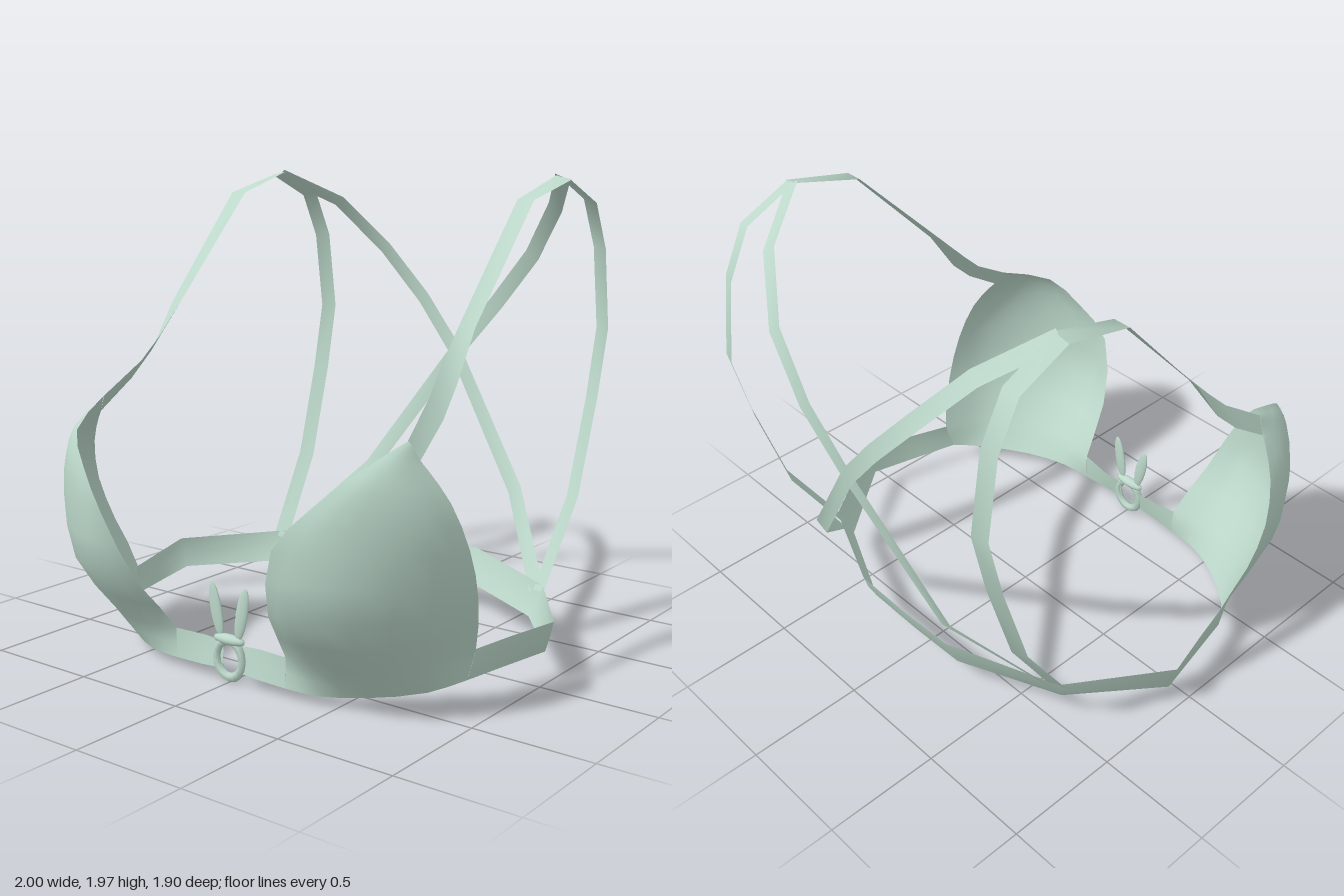
import * as THREE from 'three';

const fabric = new THREE.MeshStandardMaterial({ color: 0xbcd8ca, side: THREE.DoubleSide });
fabric.name = 'paleMintFabric';

const V = (p) => new THREE.Vector3(...p);
const spread = (points, n) => new THREE.CatmullRomCurve3(points).getPoints(n);

// Surface through rows of points; sub > 1 smooths it in both directions
function loft(rows, sub = 1) {
  let grid = rows.map((row) => row.map(V));
  if (sub > 1) {
    grid = grid.map((row) => spread(row, (row.length - 1) * sub));
    const columns = grid[0].map((_, j) => spread(grid.map((row) => row[j]), (rows.length - 1) * sub));
    grid = columns[0].map((_, i) => columns.map((c) => c[i]));
  }
  const w = grid[0].length;
  const index = [];
  for (let i = 0; i < grid.length - 1; i++) {
    for (let j = 0; j < w - 1; j++) {
      const a = i * w + j;
      index.push(a, a + 1, a + w, a + 1, a + w + 1, a + w);
    }
  }
  const geometry = new THREE.BufferGeometry().setFromPoints(grid.flat());
  geometry.setIndex(index);
  geometry.computeVertexNormals();
  return geometry;
}

// Flat strap along a path, lying against the rounded back
function strapRows(path, width) {
  const pts = path.map(V);
  return pts.map((p, i) => {
    const tangent = pts[Math.min(i + 1, pts.length - 1)].clone().sub(pts[Math.max(i - 1, 0)]);
    const outward = new THREE.Vector3(p.x * 0.4, (p.y - 1) * 0.8, p.z);
    const side = tangent.cross(outward).setLength(width / 2);
    return [p.clone().add(side).toArray(), p.clone().sub(side).toArray()];
  });
}

// Cup rows from bottom to apex, each from neckline to armhole
const cupRows = [
  [[0.28, 0.04, 0.69], [0.43, 0.04, 0.675], [0.6, 0.05, 0.6], [0.78, 0.07, 0.46], [0.87, 0.1, 0.33]],
  [[0.285, 0.165, 0.69], [0.45, 0.17, 0.73], [0.63, 0.18, 0.69], [0.81, 0.2, 0.53], [0.89, 0.22, 0.3]],
  [[0.335, 0.38, 0.85], [0.48, 0.42, 0.915], [0.7, 0.42, 0.84], [0.89, 0.43, 0.62], [0.945, 0.45, 0.38]],
  [[0.43, 0.67, 0.945], [0.59, 0.68, 0.92], [0.78, 0.68, 0.82], [0.92, 0.66, 0.63], [0.955, 0.65, 0.46]],
  [[0.57, 0.83, 0.9], [0.69, 0.84, 0.87], [0.81, 0.84, 0.77], [0.885, 0.83, 0.65], [0.91, 0.83, 0.52]],
  [[0.69, 0.95, 0.82], [0.75, 0.95, 0.78], [0.8, 0.95, 0.71], [0.825, 0.95, 0.63], [0.835, 0.95, 0.56]],
  [[0.77, 1.05, 0.59], [0.78, 1.04, 0.585], [0.79, 1.02, 0.58], [0.8, 1.0, 0.575], [0.81, 0.98, 0.57]],
];

// Band edges, bottom and top, from centre back to the cup
const bandRows = [
  [[0, 0.13, -0.655], [0, 0.21, -0.7], [0, 0.275, -0.715]],
  [[0.27, 0.13, -0.65], [0.27, 0.21, -0.69], [0.27, 0.275, -0.71]],
  [[0.69, 0.105, -0.45], [0.71, 0.17, -0.485], [0.725, 0.235, -0.505]],
  [[0.965, 0.11, -0.1], [0.985, 0.175, -0.1], [1.0, 0.24, -0.1]],
  [[0.91, 0.105, 0.15], [0.925, 0.165, 0.14], [0.935, 0.23, 0.13]],
  [[0.87, 0.1, 0.33], [0.885, 0.16, 0.32], [0.89, 0.22, 0.3]],
];

// Bridge from the ring to the cup
const bridgeRows = [
  [[0.04, 0.05, 0.69], [0.04, 0.155, 0.675]],
  [[0.14, 0.045, 0.695], [0.14, 0.16, 0.67]],
  [[0.28, 0.04, 0.69], [0.285, 0.165, 0.69]],
];

// Front strap edges, twisting from the apex to the shoulder
const frontStrapRows = [
  [[0.77, 1.05, 0.59], [0.81, 0.98, 0.57]],
  [[0.735, 1.18, 0.4], [0.795, 1.1, 0.4]],
  [[0.718, 1.28, 0.3], [0.78, 1.21, 0.29]],
  [[0.712, 1.43, 0.16], [0.775, 1.41, 0.16]],
  [[0.705, 1.87, -0.25], [0.78, 1.87, -0.25]],
  [[0.71, 1.96, -0.55], [0.785, 1.945, -0.55]],
];

const backStrapPath = [
  [0.748, 1.952, -0.55], [0.75, 1.85, -0.78], [0.75, 1.65, -0.88], [0.75, 1.3, -0.93],
  [0.745, 1.0, -0.86], [0.735, 0.585, -0.73], [0.71, 0.21, -0.495],
];

const crossStrapPath = [
  [0.74, 1.95, -0.55], [0.58, 1.82, -0.79], [0.4, 1.6, -0.92], [0.2, 1.37, -0.953],
  [0, 1.13, -0.93], [-0.4, 0.55, -0.81], [-0.685, 0.21, -0.52],
];

export function createModel() {
  const model = new THREE.Group();
  model.name = 'strappyBra';
  const add = (name, geometry) => {
    const mesh = new THREE.Mesh(geometry, fabric);
    mesh.name = name;
    model.add(mesh);
    return mesh;
  };

  for (const [side, s] of [['left', 1], ['right', -1]]) {
    const mirror = (rows) => rows.map((row) => row.map(([x, y, z]) => [x * s, y, z]));
    add(side + 'Cup', loft(mirror(cupRows), 2));
    add(side + 'Band', loft(mirror(bandRows)));
    add(side + 'Bridge', loft(mirror(bridgeRows)));
    add(side + 'FrontStrap', loft(mirror(frontStrapRows)));
    add(side + 'BackStrap', loft(mirror(strapRows(backStrapPath, 0.07))));
    add(side + 'CrossStrap', loft(mirror(strapRows(crossStrapPath, 0.07))));

    // Upright bow loop, a flattened teardrop
    const loop = add(side + 'BowLoop', new THREE.SphereGeometry(1, 12, 8).scale(0.03, 0.115, 0.01));
    loop.position.set(0.066 * s, 0.288, 0.69);
    loop.rotation.z = -0.2 * s;
  }

  // Centre ring and the knot over it
  const ring = add('centreRing', new THREE.TorusGeometry(0.066, 0.017, 6, 16));
  ring.scale.y = 1.15;
  ring.position.set(0, 0.096, 0.69);
  const knot = add('bowKnot', new THREE.SphereGeometry(1, 12, 8).scale(0.08, 0.022, 0.025));
  knot.position.set(0, 0.175, 0.69);
  return model;
}
